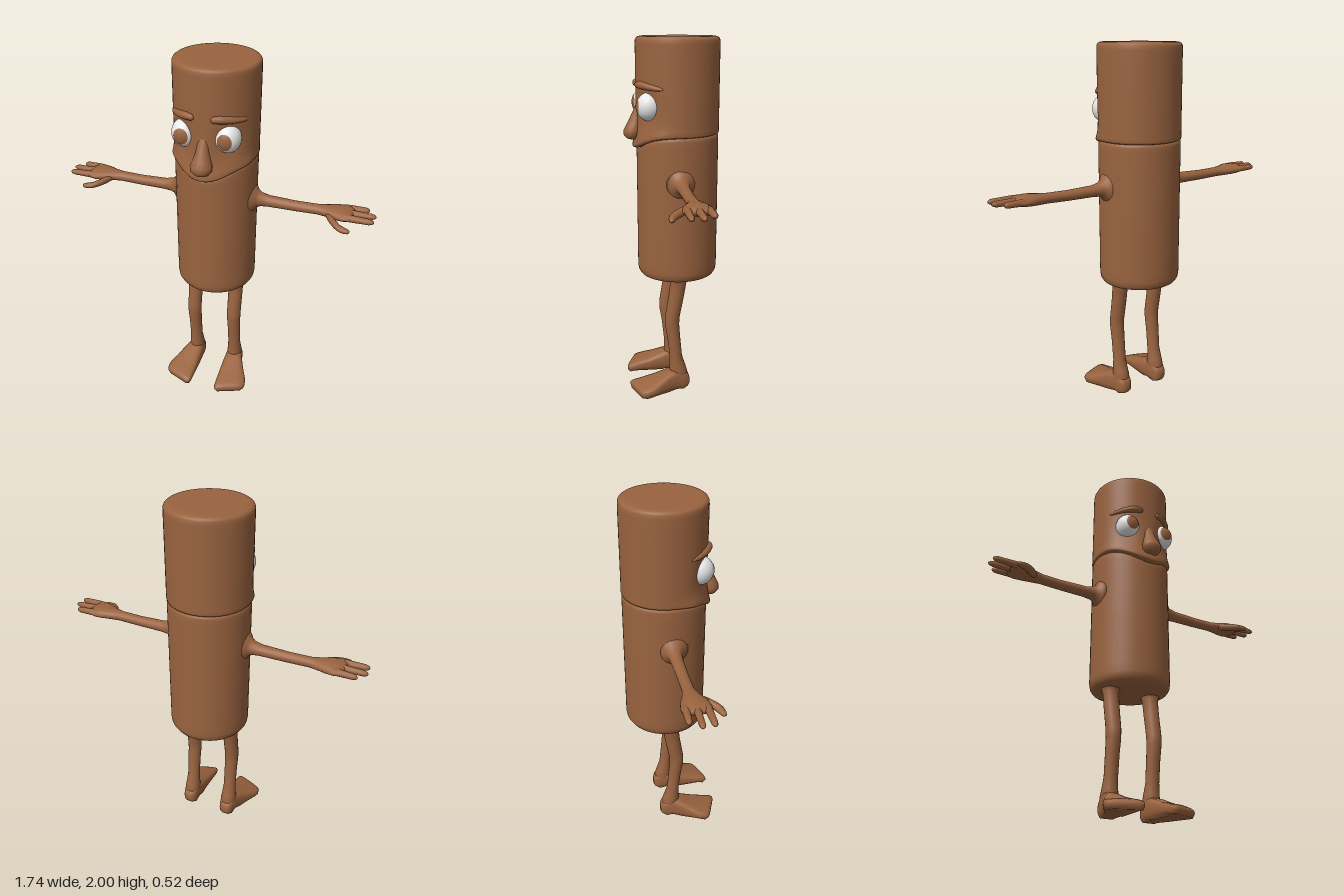
import * as THREE from 'three';

const UNIT = {
  x: [new THREE.Vector3(0, 1, 0), new THREE.Vector3(0, 0, 1)],
  y: [new THREE.Vector3(0, 0, 1), new THREE.Vector3(1, 0, 0)],
  z: [new THREE.Vector3(1, 0, 0), new THREE.Vector3(0, 1, 0)],
};

// Closed skin over rings [x, y, z, a, b] running along +axis; pow > 1 gives boxier sections
function loft(axis, rings, sides = 16, pow = 1, rule = null) {
  const [A, B] = UNIT[axis];
  const pos = [], index = [];
  const soft = (v) => Math.sign(v) * Math.pow(Math.abs(v), 1 / pow);
  const add = (v) => {
    if (rule) rule(v);
    pos.push(v.x, v.y, v.z);
  };
  for (const [x, y, z, a, b] of rings) {
    for (let i = 0; i < sides; i++) {
      const t = (i / sides) * Math.PI * 2;
      add(new THREE.Vector3(x, y, z)
        .addScaledVector(A, a * soft(Math.cos(t)))
        .addScaledVector(B, b * soft(Math.sin(t))));
    }
  }
  const n = rings.length;
  add(new THREE.Vector3(...rings[0].slice(0, 3)));
  add(new THREE.Vector3(...rings[n - 1].slice(0, 3)));
  for (let i = 0; i < sides; i++) {
    const j = (i + 1) % sides;
    for (let r = 0; r < n - 1; r++) {
      const p = r * sides, q = p + sides;
      index.push(p + i, p + j, q + j, p + i, q + j, q + i);
    }
    const last = (n - 1) * sides;
    index.push(n * sides, j, i, n * sides + 1, last + i, last + j);
  }
  const g = new THREE.BufferGeometry();
  g.setAttribute('position', new THREE.Float32BufferAttribute(pos, 3));
  g.setIndex(index);
  g.computeVertexNormals();
  return g;
}

// Copy of a geometry on the other side of x = 0
function mirrored(geo) {
  const g = geo.clone().scale(-1, 1, 1);
  const ix = g.index.array;
  for (let i = 0; i < ix.length; i += 3) [ix[i], ix[i + 1]] = [ix[i + 1], ix[i]];
  return g;
}

const bell = (v, w) => Math.exp(-(v / w) * (v / w));
const CZ = -0.035; // axis of the trunk

export function createModel() {
  const brown = new THREE.MeshStandardMaterial({ color: 0x99633f });
  brown.name = 'brown skin';
  const white = new THREE.MeshStandardMaterial({ color: 0xeeeeee });
  white.name = 'eye white';

  const model = new THREE.Group();
  model.name = 'cylinderFigure';
  const part = (name, geo, mat = brown) => {
    const m = new THREE.Mesh(geo, mat);
    m.name = name;
    model.add(m);
  };
  const pair = (name, geo, mat = brown) => {
    part(name + 'Left', geo, mat);
    part(name + 'Right', mirrored(geo), mat);
  };
  const trunkRings = (profile) => profile.map(([r, y]) => [0, y, CZ, r, r]);

  // The seam dips into a smile at the front
  const angle = (v) => Math.atan2(v.x, v.z - CZ);
  const dip = (v) => 0.075 * bell(angle(v), 0.7) * Math.min(1, Math.hypot(v.x, v.z - CZ) / 0.2);

  // Lower body
  part('body', loft('y', trunkRings([
    [0.12, 0.68], [0.185, 0.683], [0.208, 0.692], [0.22, 0.71], [0.224, 0.735], [0.224, 0.78],
    [0.224, 1.1], [0.224, 1.35], [0.224, 1.44], [0.224, 1.472], [0.221, 1.484], [0.213, 1.49], [0.19, 1.492],
  ]), 40, 1, (v) => {
    v.y -= dip(v) * THREE.MathUtils.smoothstep(v.y, 1.1, 1.47);
  }));

  // Head with a bulging upper lip and shallow eye sockets
  const headProfile = [[0.19, 1.488], [0.213, 1.489], [0.224, 1.493], [0.227, 1.503]];
  for (let y = 1.52; y < 1.9; y += 0.02) headProfile.push([0.226, y]);
  headProfile.push([0.226, 1.96], [0.225, 1.98], [0.22, 1.99], [0.21, 1.997], [0.19, 2], [0.1, 2]);
  part('head', loft('y', trunkRings(headProfile), 56, 1, (v) => {
    const t = angle(v);
    const lip = 0.02 * bell(t, 0.75) * bell(v.y - 1.5, 0.045);
    const socket = 0.014 * bell(Math.abs(t) - 0.6, 0.3) * bell(v.y - 1.63, 0.07);
    const cheek = 0.008 * bell(Math.abs(t) - 1.05, 0.25) * bell(v.y - 1.5, 0.03);
    const k = 1 + (lip + cheek - socket) / 0.226;
    v.y -= dip(v) * (1 - THREE.MathUtils.smoothstep(v.y, 1.5, 1.66));
    v.x *= k;
    v.z = CZ + (v.z - CZ) * k;
  }));

  // Drooping nose
  part('nose', loft('y', [
    [0, 1.458, 0.205, 0.018, 0.02], [0, 1.465, 0.208, 0.036, 0.04], [0, 1.485, 0.212, 0.048, 0.056],
    [0, 1.51, 0.21, 0.048, 0.058], [0, 1.54, 0.2, 0.043, 0.046], [0, 1.58, 0.186, 0.036, 0.034],
    [0, 1.63, 0.172, 0.026, 0.028], [0, 1.67, 0.165, 0.015, 0.02],
  ], 20));

  // Eyes: white ball and a thin iris cap lying on it
  const eyeball = (r, cap) => new THREE.SphereGeometry(r, 28, 18, 0, Math.PI * 2, 0, cap)
    .rotateX(Math.PI / 2).scale(0.97, 1.08, 1).translate(0.115, 1.645, 0.13);
  pair('eye', eyeball(0.07, Math.PI), white);
  pair('iris', eyeball(0.0725, 0.58));

  // Eyebrows wrapped around the forehead
  pair('eyebrow', loft('x', [
    [0.045, 1.752, 0.184, 0.008, 0.008], [0.055, 1.753, 0.184, 0.017, 0.018], [0.085, 1.755, 0.177, 0.02, 0.022],
    [0.12, 1.752, 0.16, 0.019, 0.022], [0.155, 1.747, 0.133, 0.016, 0.02],
    [0.185, 1.741, 0.097, 0.012, 0.018], [0.2, 1.738, 0.073, 0.005, 0.008],
  ], 14));

  // Arms flaring into the body, ending in a flat palm
  pair('arm', loft('x', [
    [0.2, 1.245, -0.025, 0.095, 0.085], [0.222, 1.245, -0.025, 0.075, 0.065], [0.235, 1.243, -0.025, 0.053, 0.048],
    [0.255, 1.24, -0.025, 0.039, 0.038], [0.3, 1.237, -0.025, 0.031, 0.033], [0.45, 1.235, -0.025, 0.028, 0.03],
    [0.57, 1.238, -0.025, 0.027, 0.031], [0.62, 1.24, -0.024, 0.029, 0.046], [0.67, 1.243, -0.02, 0.031, 0.068],
    [0.71, 1.244, -0.02, 0.028, 0.076], [0.74, 1.245, -0.02, 0.022, 0.074], [0.755, 1.245, -0.02, 0.012, 0.062],
  ], 18));

  // Three fingers: [z at root, z at tip, tip x]
  [[-0.07, -0.078, 0.83], [-0.02, -0.024, 0.87], [0.03, 0.034, 0.865]].forEach(([z0, z1, tip], i) => {
    const rings = [[0, 0.018], [0.3, 0.019], [0.6, 0.017], [0.85, 0.016], [0.95, 0.012], [1, 0.005]].map(([t, r]) => [
      0.7 + (tip - 0.7) * t, 1.247, z0 + (z1 - z0) * t, r, r,
    ]);
    pair('finger' + (i + 1), loft('x', rings, 12));
  });

  // Thumb
  pair('thumb', loft('x', [
    [0.615, 1.235, 0.0, 0.015, 0.02], [0.645, 1.228, 0.035, 0.02, 0.028], [0.675, 1.22, 0.068, 0.019, 0.028],
    [0.7, 1.215, 0.09, 0.017, 0.023], [0.725, 1.212, 0.1, 0.016, 0.018],
    [0.748, 1.212, 0.105, 0.012, 0.013], [0.756, 1.212, 0.106, 0.005, 0.005],
  ], 12));

  // Legs, bent slightly at the knee
  pair('leg', loft('y', [
    [0.125, 0.05, -0.03, 0.045, 0.04], [0.125, 0.1, -0.025, 0.053, 0.047], [0.125, 0.14, -0.02, 0.046, 0.042],
    [0.125, 0.2, -0.01, 0.036, 0.037], [0.125, 0.32, 0.002, 0.037, 0.038], [0.125, 0.4, 0.012, 0.041, 0.04],
    [0.125, 0.45, 0.011, 0.042, 0.041], [0.125, 0.58, -0.012, 0.044, 0.042], [0.125, 0.66, -0.023, 0.046, 0.043],
    [0.125, 0.685, -0.025, 0.056, 0.052], [0.125, 0.7, -0.025, 0.06, 0.056],
  ], 18));

  // Feet splayed outward, with slanted toes and a flat sole
  pair('foot', loft('z', [
    [0.125, 0.045, -0.088, 0.02, 0.024], [0.125, 0.05, -0.078, 0.036, 0.043], [0.125, 0.058, -0.05, 0.045, 0.058],
    [0.127, 0.064, -0.01, 0.05, 0.064], [0.136, 0.056, 0.04, 0.062, 0.056], [0.148, 0.043, 0.1, 0.074, 0.043],
    [0.16, 0.033, 0.16, 0.085, 0.033], [0.164, 0.027, 0.205, 0.087, 0.027],
    [0.166, 0.025, 0.224, 0.08, 0.02], [0.167, 0.025, 0.231, 0.06, 0.01],
  ], 24, 1.5, (v) => {
    v.z -= 0.4 * (v.x - 0.165) * THREE.MathUtils.smoothstep(v.z, 0, 0.2);
    if (v.z > -0.07) v.y = v.y < 0.012 ? 0 : v.y;
  }));

  return model;
}
